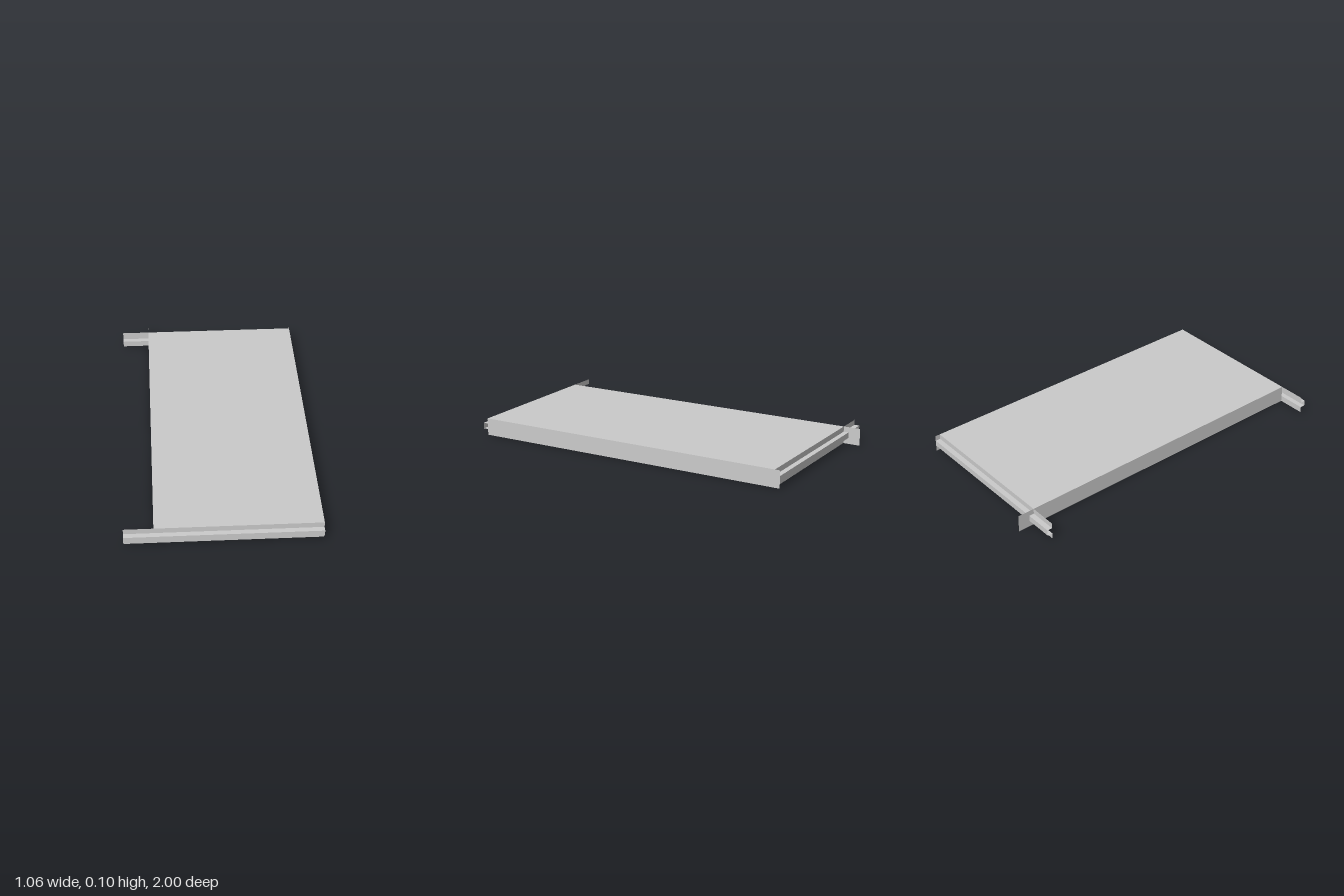
import * as THREE from 'three';

const LEFT = 0.53, RIGHT = -0.53, INNER = -0.37; // x limits of rails and tray
const FRONT = 0.97, BACK = -0.9, HEIGHT = 0.1, DEPTH = 0.03;

const material = new THREE.MeshStandardMaterial({
  color: 0xcccccc, side: THREE.DoubleSide, flatShading: true,
});

function sheet(name, width, height, place) {
  const mesh = new THREE.Mesh(new THREE.PlaneGeometry(width, height), material);
  mesh.name = name;
  place(mesh);
  return mesh;
}

// Horizontal panel of the tray
function panel(name, y, up) {
  return sheet(name, LEFT - INNER, FRONT - BACK, (m) => {
    m.rotation.x = up * -Math.PI / 2;
    m.position.set((LEFT + INNER) / 2, y, (FRONT + BACK) / 2);
  });
}

// Upright long wall, running from zMin to the front edge
function wall(name, x, zMin, side) {
  return sheet(name, FRONT - zMin, HEIGHT, (m) => {
    m.rotation.y = side * Math.PI / 2;
    m.position.set(x, HEIGHT / 2, (FRONT + zMin) / 2);
  });
}

// Folded hat-section rail: a profile of [outward offset, y] swept along x
function rail(name, z, out) {
  const profile = [[0, HEIGHT], [0, 0.069], [DEPTH, 0.069], [DEPTH, 0.035], [0, 0.035], [0, 0]];
  const positions = [], index = [];
  profile.forEach(([d, y], i) => {
    for (const x of [RIGHT, LEFT]) positions.push(x, y, z + out * d);
    if (i === 0) return;
    const a = 2 * (i - 1), b = a + 1, c = a + 2, e = a + 3;
    if (out > 0) index.push(a, c, b, b, c, e);
    else index.push(a, b, c, b, e, c);
  });
  let geometry = new THREE.BufferGeometry();
  geometry.setAttribute('position', new THREE.Float32BufferAttribute(positions, 3));
  geometry.setIndex(index);
  geometry = geometry.toNonIndexed();
  geometry.computeVertexNormals();
  const mesh = new THREE.Mesh(geometry, material);
  mesh.name = name;
  return mesh;
}

export function createModel() {
  const model = new THREE.Group();
  model.name = 'railTray';

  // Tray: top and bottom panels with two long walls that overhang at the back
  model.add(
    panel('topPanel', HEIGHT, 1),
    panel('bottomPanel', 0, -1),
    wall('leftWall', LEFT, BACK - DEPTH, 1),
    wall('rightWall', INNER, -1, -1),
  );

  // Rails closing both short ends and reaching out past the right wall
  model.add(rail('frontRail', FRONT, 1), rail('backRail', BACK, -1));
  return model;
}
